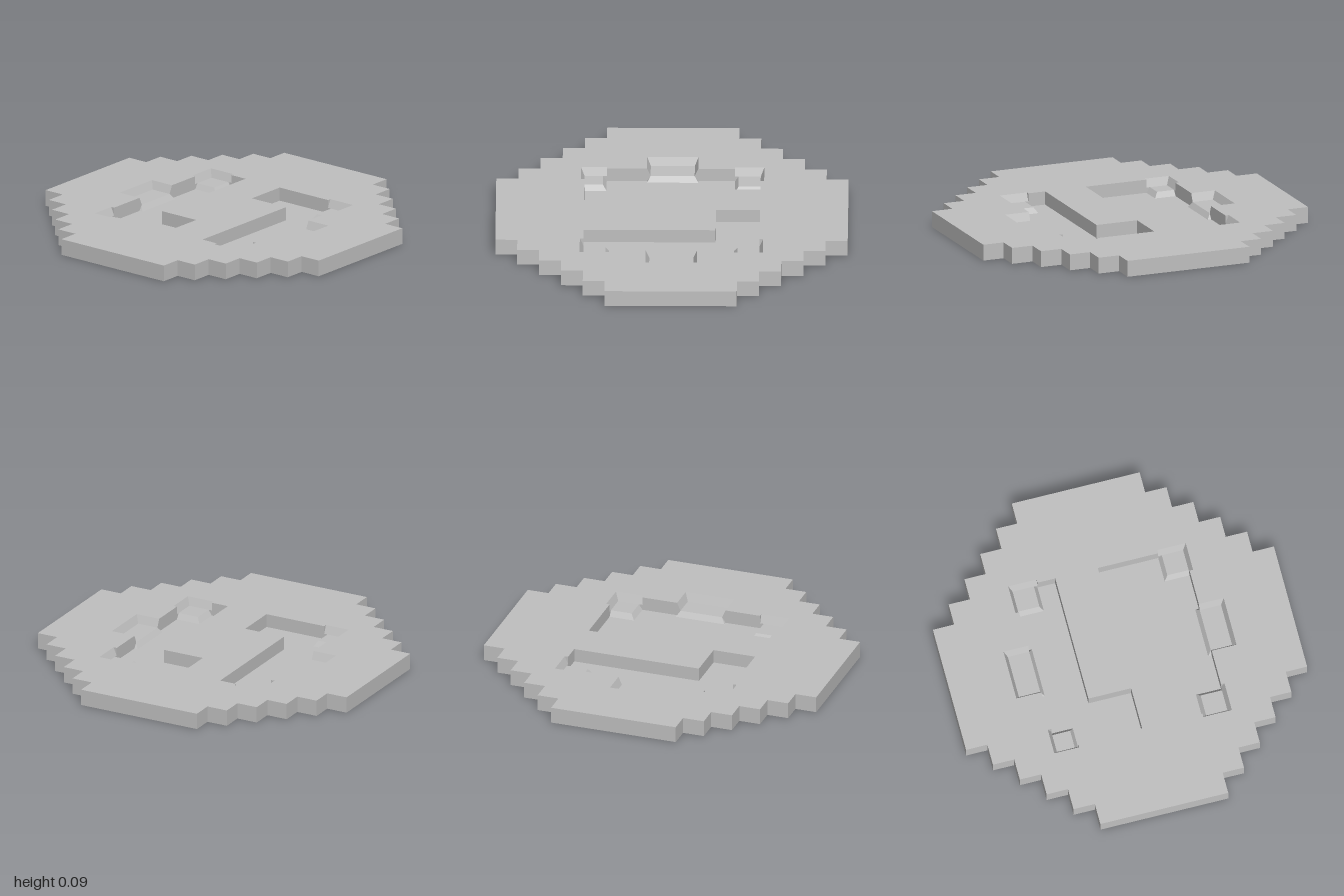
import * as THREE from 'three';

const FLOOR = 1 / 64, LEDGE = 3 / 64, TOP = 6 / 64, SLOPE = 0.021;

const grey = new THREE.MeshStandardMaterial({ color: 0xc0c0c0 });
grey.name = 'plain grey';

const toPoints = (list) => list.map(([x, z]) => new THREE.Vector2(x, z));

// Horizontal slab from y0 to y1 with holes, drawn in x and z
function slab(name, outline, holes, y0, y1) {
  const shape = new THREE.Shape(toPoints(outline));
  shape.holes = holes.map((h) => new THREE.Path(toPoints(h)));
  const geo = new THREE.ExtrudeGeometry(shape, { depth: y1 - y0, bevelEnabled: false });
  geo.rotateX(Math.PI / 2).translate(0, y1, 0);
  const mesh = new THREE.Mesh(geo, grey);
  mesh.name = name;
  return mesh;
}

// Block between two rectangles [x0, x1, z0, z1], one at y0 and one at y1
function taperedBlock(name, bottom, top, y0, y1) {
  const geo = new THREE.BoxGeometry(1, 1, 1);
  const p = geo.attributes.position;
  for (let i = 0; i < p.count; i++) {
    const up = p.getY(i) > 0;
    const r = up ? top : bottom;
    p.setXYZ(i, p.getX(i) > 0 ? r[1] : r[0], up ? y1 : y0, p.getZ(i) > 0 ? r[3] : r[2]);
  }
  geo.computeVertexNormals();
  const mesh = new THREE.Mesh(geo, grey);
  mesh.name = name;
  return mesh;
}

// Round outline made of square steps
function steppedOutline() {
  const quarter = [];
  for (let i = 0; i <= 5; i++) {
    const a = 1 - i * 0.125, b = 0.375 + i * 0.125;
    if (i > 0) quarter.push([a, b - 0.125]);
    quarter.push([a, b]);
  }
  const outline = [];
  let part = quarter;
  for (let k = 0; k < 4; k++) {
    outline.push(...part);
    part = part.map(([x, z]) => [-z, x]);
  }
  return outline;
}

// L-shaped groove
const groove = [[-0.5, -0.5], [-0.25, -0.5], [-0.25, 0.25], [0, 0.25], [0, 0.5], [-0.5, 0.5]];

// The same groove widened at the rim by the three notches; e is the size of the front one
function notchedGroove(e) {
  const s = SLOPE, c = 0.5 + s, n = 0.375 - s, f = 0.5 - e - s, m = 0.125 + s, w = 0.625 + s;
  return [
    [-c, -c], [-n, -c], [-n, -0.5], [-0.25, -0.5], [-0.25, 0.25], [0, 0.25], [0, 0.5],
    [-f, 0.5], [-f, c], [-c, c], [-c, f], [-0.5, f], [-0.5, m], [-w, m], [-w, -m],
    [-0.5, -m], [-0.5, -n], [-c, -n],
  ];
}

const rotated = (list) => list.map(([x, z]) => [-x, -z]);

// Ledges with sloping drops, and the sloping walls above them
function notches(name, e) {
  const group = new THREE.Group();
  group.name = name;
  const s = SLOPE, t = 0.0005;
  const ledges = [
    { r: [-0.5, -0.375, -0.5, -0.375], walls: ['left', 'back'] },
    { r: [-0.625, -0.5, -0.125, 0.125], walls: ['left', 'back', 'front'], stop: -0.5 },
    { r: [-0.5, -0.5 + e, 0.5 - e, 0.5], walls: ['left', 'front'] },
  ];
  for (const { r: [x0, x1, z0, z1], walls, stop } of ledges) {
    const X0 = x0 - s, X1 = x1 + s, Z0 = z0 - s, Z1 = z1 + s;
    group.add(taperedBlock('ledge', [X0, X1, Z0, Z1], [x0, x1, z0, z1], FLOOR, LEDGE));
    const end = stop ?? X1;
    const wedge = {
      left: [[X0, x0, Z0, Z1], [X0, X0 + t, Z0, Z1]],
      back: [[X0, end, Z0, z0], [X0, end, Z0, Z0 + t]],
      front: [[X0, end, z1, Z1], [X0, end, Z1 - t, Z1]],
    };
    for (const side of walls) {
      group.add(taperedBlock(side + 'NotchWall', wedge[side][0], wedge[side][1], LEDGE, TOP));
    }
  }
  return group;
}

export function createModel() {
  const model = new THREE.Group();
  model.name = 'steppedPlate';
  const outline = steppedOutline();
  const small = 0.105, regular = 0.125;

  // Solid base, then two layers cut by the grooves
  model.add(slab('base', outline, [], 0, FLOOR));
  model.add(slab('lowerLayer', outline, [groove, rotated(groove)], FLOOR, LEDGE));
  model.add(slab('upperLayer', outline,
    [notchedGroove(small), rotated(notchedGroove(regular))], LEDGE, TOP));

  // The second groove is the first one turned half way round
  model.add(notches('rightNotches', small));
  const other = notches('leftNotches', regular);
  other.rotation.y = Math.PI;
  model.add(other);
  return model;
}
